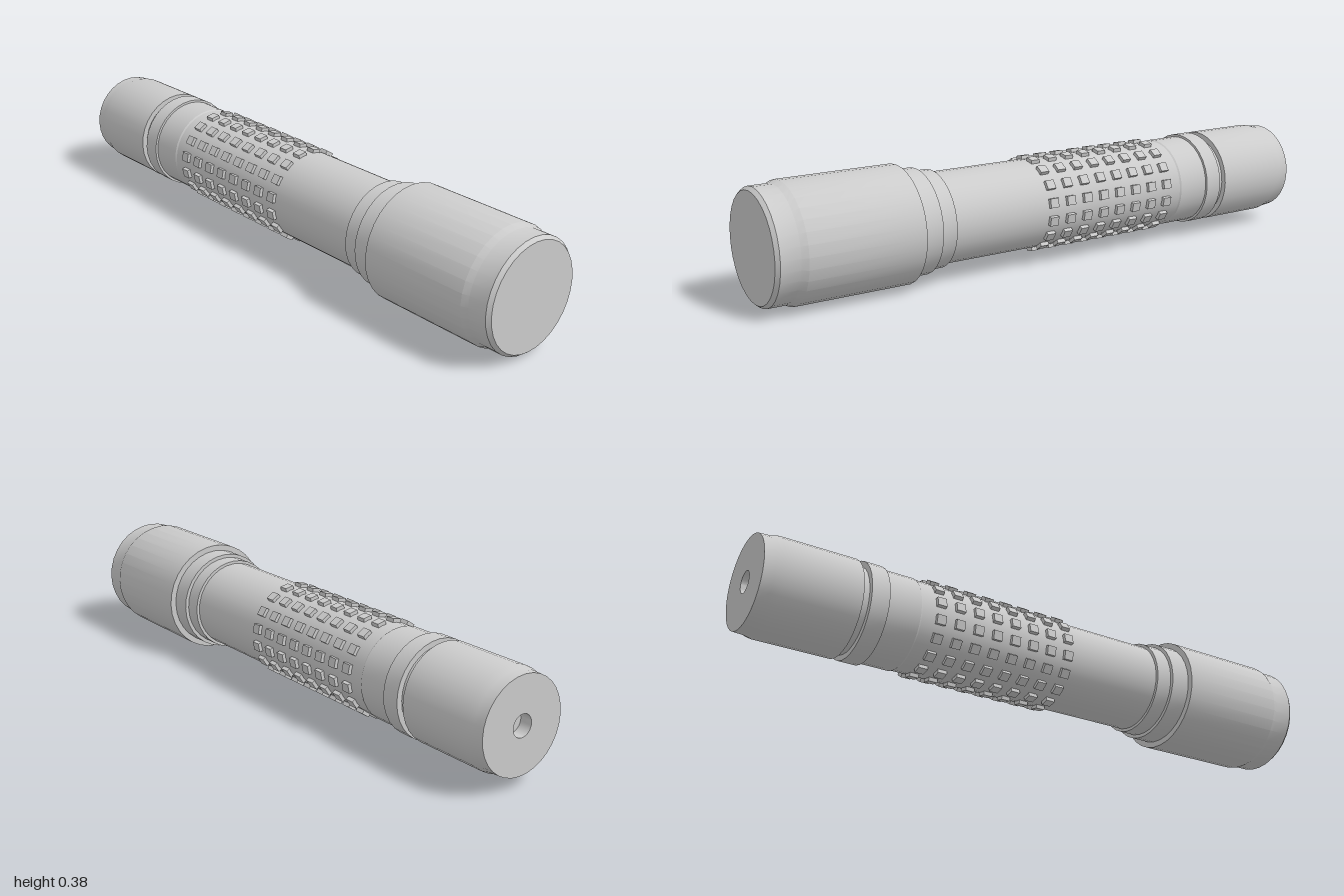
import * as THREE from 'three';
import { toCreasedNormals } from 'three/addons/utils/BufferGeometryUtils.js';

const AXIS_Y = 0.189;

export function createModel() {
  const model = new THREE.Group();
  model.name = 'flashlight';
  const torch = new THREE.Group();
  torch.name = 'torch';
  torch.position.y = AXIS_Y;
  model.add(torch);
  const material = new THREE.MeshStandardMaterial({ color: 0xcccccc });

  // Turned part along x; the profile lists [x, radius] from tail to head.
  function turned(name, profile) {
    const points = profile.map(([x, r]) => new THREE.Vector2(r, x));
    const geometry = new THREE.LatheGeometry(points, 32).rotateZ(-Math.PI / 2);
    const mesh = new THREE.Mesh(toCreasedNormals(geometry, 0.45), material);
    mesh.name = name;
    torch.add(mesh);
  }

  // Tail cap with a small blind hole in its end face
  turned('tailCap', [
    [-0.96, 0], [-0.96, 0.035], [-1, 0.035], [-1, 0.15], [-0.965, 0.152],
    [-0.94, 0.158], [-0.69, 0.158], [-0.69, 0.138],
  ]);
  turned('tailGroove', [[-0.69, 0.14], [-0.665, 0.14]]);
  turned('tailRing', [[-0.665, 0.138], [-0.665, 0.158], [-0.605, 0.158], [-0.605, 0.145]]);
  turned('tailCollar', [[-0.605, 0.15], [-0.495, 0.15], [-0.488, 0.146]]);
  turned('bodyTube', [[-0.49, 0.147], [0.41, 0.147]]);

  // Stepped neck and head
  turned('neckRing', [[0.405, 0.14], [0.405, 0.157], [0.46, 0.157]]);
  turned('neckCollar', [[0.46, 0.15], [0.46, 0.169], [0.527, 0.169]]);
  turned('head', [
    [0.527, 0.16], [0.527, 0.189], [0.905, 0.189], [0.925, 0.18],
    [0.988, 0.18], [1, 0.17], [1, 0],
  ]);

  // Grip: eight columns of sixteen raised pads around the body
  const grip = new THREE.Group();
  grip.name = 'grip';
  const padGeometry = new THREE.BoxGeometry(0.031, 0.03, 0.03);
  for (let col = 0; col < 8; col++) {
    for (let row = 0; row < 16; row++) {
      const angle = ((row + 0.5) / 16) * Math.PI * 2;
      const pad = new THREE.Mesh(padGeometry, material);
      pad.name = 'gripPad';
      pad.position.set(-0.427 + col * 0.067, Math.cos(angle) * 0.143, Math.sin(angle) * 0.143);
      pad.rotation.x = angle;
      grip.add(pad);
    }
  }
  torch.add(grip);

  return model;
}
